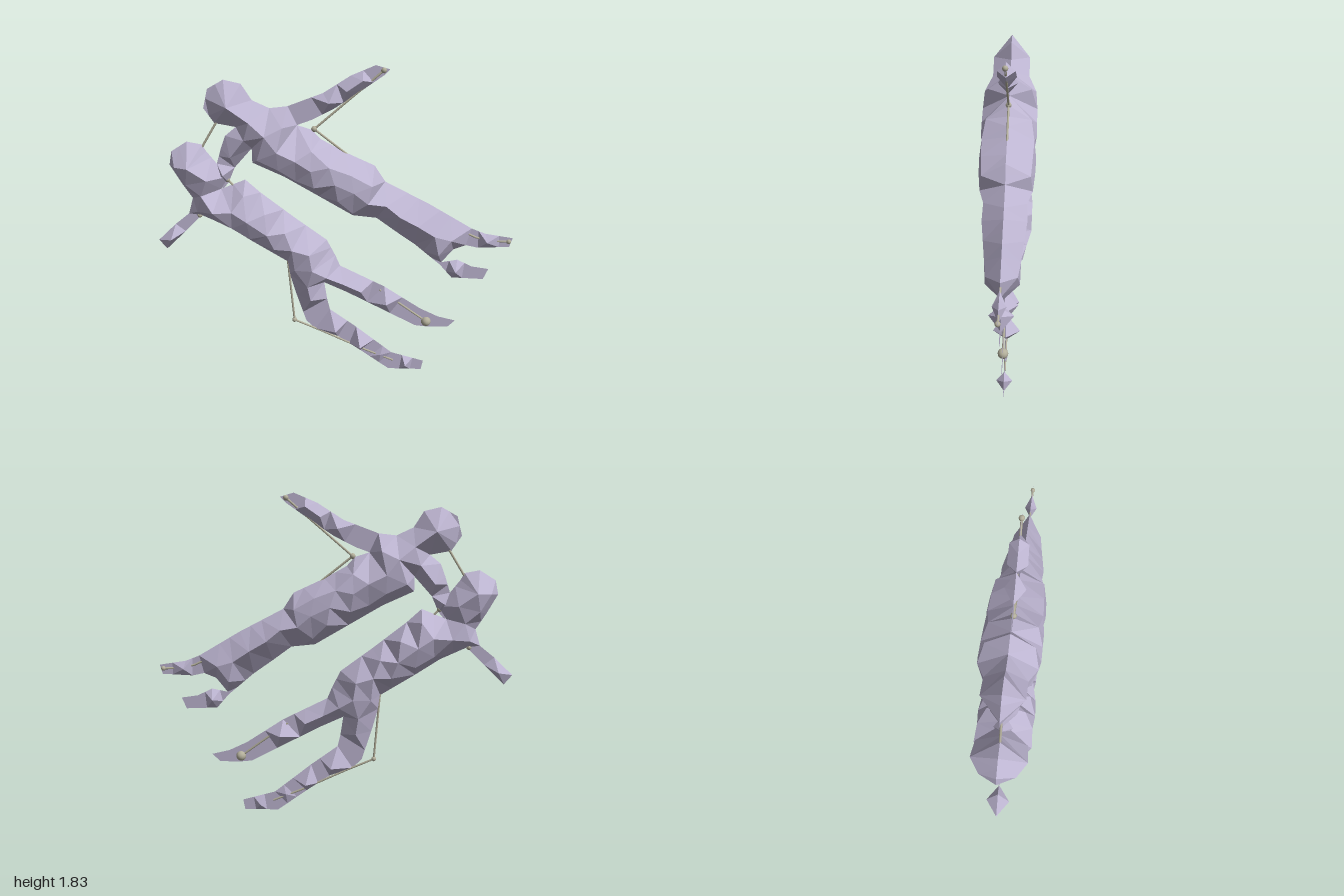
import * as THREE from 'three';

const bodyMat = new THREE.MeshStandardMaterial({ color: 0xbcb4d0, side: THREE.DoubleSide });
bodyMat.name = 'lavender skin';
const rodMat = new THREE.MeshStandardMaterial({ color: 0xb4b09c });
rodMat.name = 'pale olive rods';

// Drawing coordinates (y down) to model units
const S = 187, toX = (x) => (x - 238.5) / S, toY = (y) => (395.5 - y) / S;

// Outlines of both figures, discs where the thin limbs stay flat, and set depths (x, y, depth)
const upper = {
  outline: [[107, 94], [112, 75], [128, 66], [145, 70], [155, 86], [172, 94], [190, 92], [225, 79],
    [252, 62], [276, 52], [290, 56], [284, 62], [255, 82], [235, 95], [213, 106], [199, 111], [214, 116], [222, 125],
    [245, 138], [277, 153], [288, 170], [335, 195], [380, 222], [395, 228], [424, 233], [421, 243], [388, 244],
    [375, 241], [362, 246], [350, 261], [367, 258], [383, 266], [401, 269], [396, 281], [362, 279], [349, 264],
    [321, 240], [300, 225], [280, 210], [255, 207], [220, 186], [185, 165], [153, 150], [153, 135], [135, 155],
    [128, 171], [122, 178], [114, 168], [117, 151], [122, 135], [127, 122], [138, 113], [117, 109]],
  flats: [[390, 236, 24], [392, 274, 14], [278, 58, 14], [216, 96, 16]],
  bumps: [[248, 76, 0.05], [396, 236, 0.035], [364, 268, 0.065], [160, 141, 0.12]],
};
const lower = {
  outline: [[69, 152], [72, 138], [88, 128], [103, 131], [107, 138], [117, 151], [122, 137], [136, 126],
    [139, 147], [128, 165], [120, 178], [145, 168], [160, 182], [195, 210], [228, 235], [237, 253], [242, 265],
    [290, 290], [330, 317], [350, 327], [369, 332], [361, 340], [340, 340], [325, 338], [283, 315], [250, 297],
    [225, 285], [228, 305], [231, 318], [260, 340], [300, 373], [336, 384], [334, 395], [297, 394], [265, 370],
    [240, 352], [215, 342], [205, 332], [195, 300], [188, 275], [186, 260], [150, 237], [125, 220], [98, 207],
    [80, 225], [59, 245], [51, 235], [70, 217], [85, 205], [90, 188], [80, 172]],
  flats: [[335, 328, 36], [84, 214, 10], [215, 323, 17], [126, 150, 14]],
  bumps: [[66, 231, 0.06], [237, 340, 0.07], [264, 359, 0.08], [315, 386, 0.045],
    [77, 150, 0.09], [91, 149, 0.14], [109, 162, 0.13], [114, 195, 0.15]],
};

const dist = (a, b) => Math.hypot(a[0] - b[0], a[1] - b[1]);

function inside(p, poly) {
  let hit = false;
  poly.forEach((a, i) => {
    const b = poly[(i + 1) % poly.length];
    if ((a[1] > p[1]) !== (b[1] > p[1]) &&
      p[0] < a[0] + ((p[1] - a[1]) * (b[0] - a[0])) / (b[1] - a[1])) hit = !hit;
  });
  return hit;
}

function rimDistance(p, poly) {
  let best = Infinity;
  poly.forEach((a, i) => {
    const b = poly[(i + 1) % poly.length], dx = b[0] - a[0], dy = b[1] - a[1];
    const t = Math.min(1, Math.max(0, ((p[0] - a[0]) * dx + (p[1] - a[1]) * dy) / (dx * dx + dy * dy)));
    best = Math.min(best, dist(p, [a[0] + t * dx, a[1] + t * dy]));
  });
  return best;
}

// Bowyer-Watson triangulation
function triangulate(points) {
  const pts = [...points, [-50000, -50000], [60000, -50000], [200, 90000]], n = points.length;
  const make = (a, b, c) => {
    const [ax, ay] = pts[a], bx = pts[b][0] - ax, by = pts[b][1] - ay, cx = pts[c][0] - ax, cy = pts[c][1] - ay;
    const d = 2 * (bx * cy - by * cx), b2 = bx * bx + by * by, c2 = cx * cx + cy * cy;
    const ux = (cy * b2 - by * c2) / d, uy = (bx * c2 - cx * b2) / d;
    return { v: [a, b, c], o: [ax + ux, ay + uy], r: Math.hypot(ux, uy) };
  };
  let tris = [make(n, n + 1, n + 2)];
  points.forEach((p, i) => {
    const edges = new Map(), keep = [];
    for (const t of tris) {
      if (dist(p, t.o) >= t.r) { keep.push(t); continue; }
      for (let k = 0; k < 3; k++) {
        const a = t.v[k], b = t.v[(k + 1) % 3], key = Math.min(a, b) + '_' + Math.max(a, b);
        if (edges.has(key)) edges.delete(key); else edges.set(key, [a, b]);
      }
    }
    for (const [a, b] of edges.values()) keep.push(make(a, b, i));
    tris = keep;
  });
  return tris.map((t) => t.v).filter((v) => v.every((k) => k < n));
}

// Greatest half depth: shallower at the upper head and towards the feet
const maxDepth = (x, y) => (y < 105 ? 0.105
  : 0.155 - Math.max(0, 0.0007 * (x - 250), 0.0013 * (y - 245)));

// Inflate an outline into a faceted body, mirrored front to back
function inflate({ outline, flats, bumps }) {
  const pts = [];
  outline.forEach((a, i) => {
    const b = outline[(i + 1) % outline.length], n = Math.ceil(dist(a, b) / 16);
    for (let k = 0; k < n; k++) {
      const j = 0.01 * Math.sin(pts.length * 12.9);
      pts.push([a[0] + ((b[0] - a[0]) * k) / n + j, a[1] + ((b[1] - a[1]) * k) / n - j * 0.7, 0]);
    }
  });
  // Balls that fill the outline
  const balls = [];
  for (let x = 48; x < 428; x += 3) for (let y = 48; y < 398; y += 3) {
    const p = [x + 0.6 * Math.sin(x * 7 + y * 3), y + 0.6 * Math.cos(x * 5 + y * 11)];
    if (inside(p, outline)) balls.push([...p, rimDistance(p, outline)]);
  }
  balls.sort((a, b) => b[2] - a[2]);
  // Spread inner points, starting along the middle of each limb
  const inner = [...bumps];
  for (const c of balls) {
    if (c[2] < 7.5 || flats.some((f) => dist(c, f) < f[2])) continue;
    if (inner.some((q) => dist(c, q) < 18)) continue;
    let h = 0;
    for (const b of balls) h = Math.max(h, b[2] * b[2] - dist(b, c) ** 2);
    inner.push([c[0], c[1], Math.min(maxDepth(c[0], c[1]), (1.12 * Math.sqrt(h)) / S)]);
  }
  pts.push(...inner);

  const pos = [];
  for (const [a, b, c] of triangulate(pts)) {
    const t = [pts[a], pts[b], pts[c]];
    if (!inside([(t[0][0] + t[1][0] + t[2][0]) / 3, (t[0][1] + t[1][1] + t[2][1]) / 3], outline)) continue;
    const turn = (t[1][0] - t[0][0]) * (t[2][1] - t[0][1]) - (t[1][1] - t[0][1]) * (t[2][0] - t[0][0]);
    if (turn > 0) t.reverse();
    for (const p of t) pos.push(toX(p[0]), toY(p[1]), p[2]);
    for (const p of [...t].reverse()) pos.push(toX(p[0]), toY(p[1]), -p[2]);
  }
  const geo = new THREE.BufferGeometry();
  geo.setAttribute('position', new THREE.Float32BufferAttribute(pos, 3));
  geo.computeVertexNormals();
  return geo;
}

// Thin rod through a list of drawing points
function rod(name, path) {
  const group = new THREE.Group();
  group.name = name;
  for (let i = 1; i < path.length; i++) {
    const a = new THREE.Vector3(toX(path[i - 1][0]), toY(path[i - 1][1]), 0);
    const b = new THREE.Vector3(toX(path[i][0]), toY(path[i][1]), 0);
    const mesh = new THREE.Mesh(new THREE.CylinderGeometry(0.006, 0.006, a.distanceTo(b), 8), rodMat);
    mesh.position.copy(a).add(b).multiplyScalar(0.5);
    mesh.quaternion.setFromUnitVectors(new THREE.Vector3(0, 1, 0), b.sub(a).normalize());
    mesh.name = name + 'Segment';
    group.add(mesh);
  }
  return group;
}

export function createModel() {
  const model = new THREE.Group();
  model.name = 'flyingPair';
  const add = (name, geo, mat) => {
    const mesh = new THREE.Mesh(geo, mat);
    mesh.name = name;
    model.add(mesh);
    return mesh;
  };
  add('upperFigure', inflate(upper), bodyMat);
  add('lowerFigure', inflate(lower), bodyMat);

  // Inner rods
  model.add(
    rod('headRod', [[103, 134], [121, 105]]),
    rod('raisedArmRod', [[284, 57], [216, 115], [250, 142]]),
    rod('upperLegRod', [[360, 220], [385, 232], [400, 236], [420, 237]]),
    rod('lowerThighRod', [[285, 294], [337, 333]]),
    rod('bentLegRod', [[186, 255], [192, 331], [222, 345], [270, 369], [302, 383]]),
    rod('shoulderRod', [[127, 168], [136, 178]]),
  );
  // Joint balls: x, y, radius
  [[284, 57, 0.015], [216, 115, 0.016], [420, 237, 0.014], [337, 333, 0.029],
    [192, 331, 0.014], [96, 207, 0.014], [127, 168, 0.014]].forEach(([x, y, r]) => {
    add('jointBall', new THREE.SphereGeometry(r, 12, 8), rodMat).position.set(toX(x), toY(y), 0);
  });
  return model;
}
